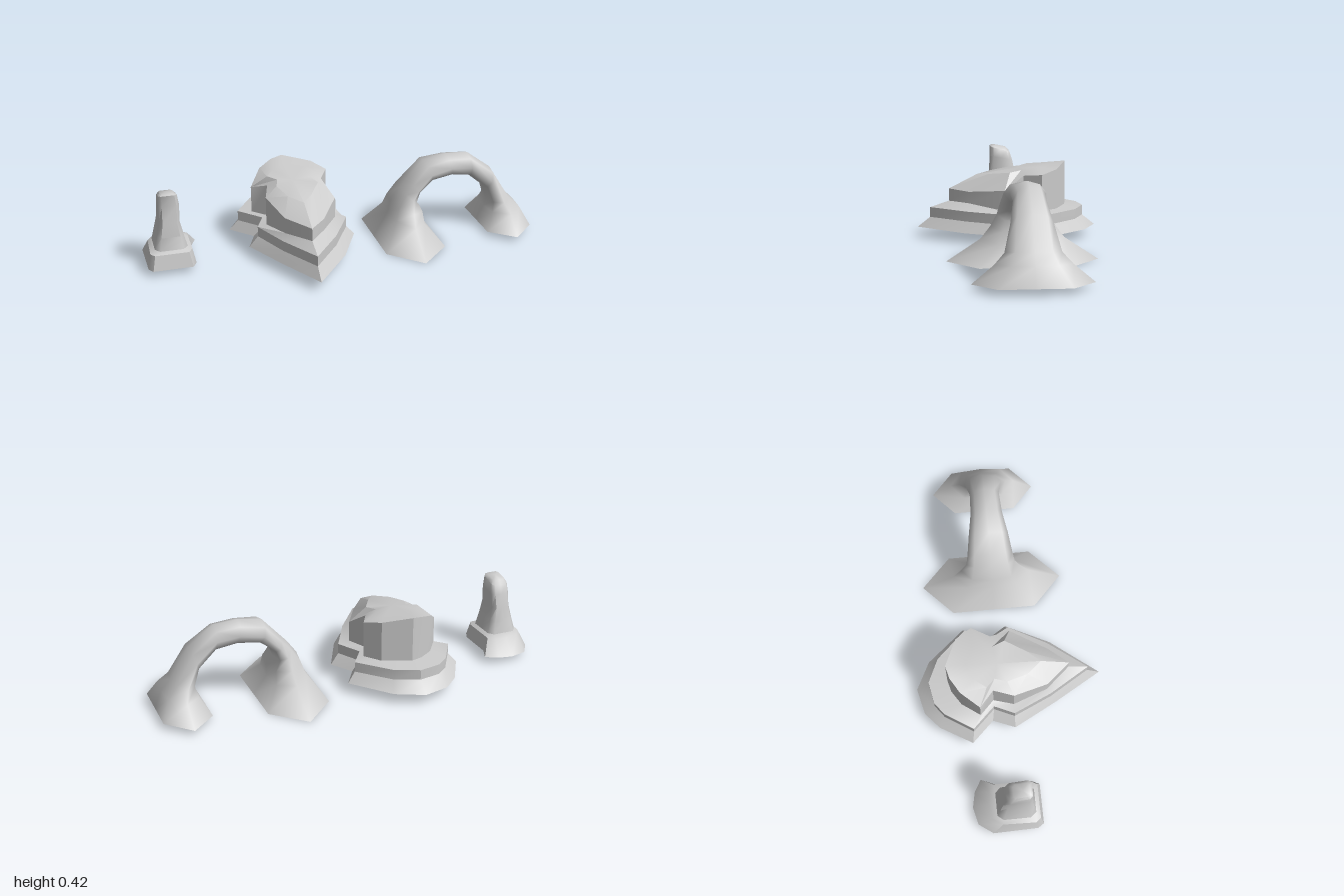
import * as THREE from 'three';
import { toCreasedNormals } from 'three/addons/utils/BufferGeometryUtils.js';

const rock = new THREE.MeshStandardMaterial({ color: 0xcccccc, side: THREE.DoubleSide });

// Skin over equal-length rings of [x, y, z], with an optional centre point closing the last ring.
function loft(name, rings, tip, crease) {
  const n = rings[0].length, index = [];
  const points = rings.flat();
  for (let r = 0; r < rings.length - 1; r++) {
    for (let i = 0; i < n; i++) {
      const a = r * n + i, b = r * n + (i + 1) % n;
      index.push(a, a + n, b, b, a + n, b + n);
    }
  }
  if (tip) {
    const last = (rings.length - 1) * n;
    for (let i = 0; i < n; i++) index.push(last + i, points.length, last + (i + 1) % n);
    points.push(tip);
  }
  let geo = new THREE.BufferGeometry();
  geo.setAttribute('position', new THREE.Float32BufferAttribute(points.flat(), 3));
  geo.setIndex(index);
  geo.computeVertexNormals();
  if (crease) geo = toCreasedNormals(geo, crease);
  const mesh = new THREE.Mesh(geo, rock);
  mesh.name = name;
  return mesh;
}

const level = (outline, y) => outline.map(([x, z]) => [x, y, z]);

// Stepped mesa: outlines run back, right, front, left.
function makeMesa() {
  const group = new THREE.Group();
  group.name = 'mesa';
  const foot = [[-.23, -.47], [-.09, -.40], [.07, -.21], [0, -.1], [.07, .01], [-.04, .23], [-.225, .465],
    [-.36, .23], [-.475, .01], [-.43, -.1], [-.535, -.21], [-.44, -.37], [-.36, -.44]];
  const band = [[-.23, -.405], [-.11, -.35], [.03, -.2], [-.04, -.1], [.025, .02], [-.08, .21], [-.225, .4],
    [-.345, .2], [-.43, .01], [-.385, -.09], [-.49, -.2], [-.4, -.34], [-.34, -.385]];
  const wall = [[-.23, -.31], [-.09, -.25], [-.03, -.17], [-.08, -.08], [-.035, .02], [-.14, .2], [-.225, .3],
    [-.33, .18], [-.385, .01], [-.355, -.09], [-.425, -.16], [-.36, -.25], [-.29, -.295]];
  const wallTop = [.395, .37, .35, .34, .27, .25, .255, .27, .31, .33, .3, .36, .385];
  const rim = wall.map(([x, z], i) => [x, wallTop[i], z]);
  // gently tilted top
  const crown = wall.map(([x, z]) => {
    const cz = -.06 + (z + .06) * .6;
    return [-.23 + (x + .23) * .6, .35 - cz * .14, cz];
  });
  const ledge = wall.map(([x, z]) => [x, z > .1 ? .19 : .165, z]);
  group.add(
    loft('mesaSkirt', [level(foot, .053), level(band, .105)], null, .5),
    loft('mesaBand', [level(band, .105), level(band, .157), ledge], null, .5),
    loft('mesaTop', [ledge, rim, crown], [-.23, .36, -.06], .5),
  );
  return group;
}

// Natural arch: each station gives outer x, y, inner x, y, half depth, corner spread and squareness.
function makeArch() {
  const stations = [
    [.19, 0, .505, 0, .365, .59, 1],
    [.265, .13, .435, .09, .2, .6, .9],
    [.275, .19, .435, .15, .155, .65, .8],
    [.325, .26, .4, .195, .125, .7, .75],
    [.37, .31, .415, .24, .115, .7, .7],
    [.45, .4, .485, .295, .1, .7, .7],
    [.57, .42, .595, .307, .08, .7, .7],
    [.69, .415, .7, .29, .075, .7, .7],
    [.82, .32, .785, .22, .095, .7, .75],
    [.915, .17, .81, .145, .125, .65, .8],
    [.965, .12, .8, .1, .17, .6, .9],
    [1, .03, .762, .02, .27, .59, 1],
  ];
  const rings = stations.map(([ox, oy, ix, iy, h, w, k]) => {
    const lo = .5 - k / 2, hi = .5 + k / 2;
    return [[.5, -1], [hi, -w], [1, 0], [hi, w], [.5, 1], [lo, w], [0, 0], [lo, -w]]
      .map(([t, s]) => [ox + (ix - ox) * t, oy + (iy - oy) * t, -.036 + s * h]);
  });
  return loft('arch', rings);
}

// Leaning spire on a spreading skirt.
function makeSpire() {
  const group = new THREE.Group();
  group.name = 'spire';
  const foot = [[-.855, -.24], [-.78, -.225], [-.72, -.19], [-.75, -.12], [-.75, .06], [-.77, .1],
    [-.965, .1], [-.985, .07], [-.99, -.15], [-.94, -.22]];
  const collar = [[-.86, -.16], [-.8, -.155], [-.765, -.13], [-.765, -.08], [-.765, .05], [-.785, .085],
    [-.95, .085], [-.97, .06], [-.965, -.1], [-.93, -.15]];
  // rounded rectangle with ten corners
  const block = (y, x0, x1, z0, z1, tilt = 0) =>
    [[.5, 0], [.85, 0], [1, .15], [1, .5], [1, .85], [.85, 1], [.15, 1], [0, .85], [0, .15], [.15, 0]]
      .map(([u, v]) => [x0 + (x1 - x0) * u, y + tilt * (v - .5), z0 + (z1 - z0) * v]);
  const column = [
    block(.115, -.945, -.785, -.125, .065),
    block(.18, -.93, -.8, -.11, .055),
    block(.25, -.915, -.815, -.095, .05),
    block(.33, -.913, -.812, -.08, .045, .02),
    block(.38, -.91, -.82, -.065, .045, .03),
    block(.395, -.9, -.835, -.045, .035, .015),
  ];
  group.add(
    loft('spireSkirt', [level(foot, .03), level(collar, .105), column[0]], null, .7),
    loft('spireColumn', column, [-.868, .4, 0], .9),
  );
  return group;
}

export function createModel() {
  const model = new THREE.Group();
  model.name = 'desertRocks';
  model.add(makeSpire(), makeMesa(), makeArch());
  return model;
}
